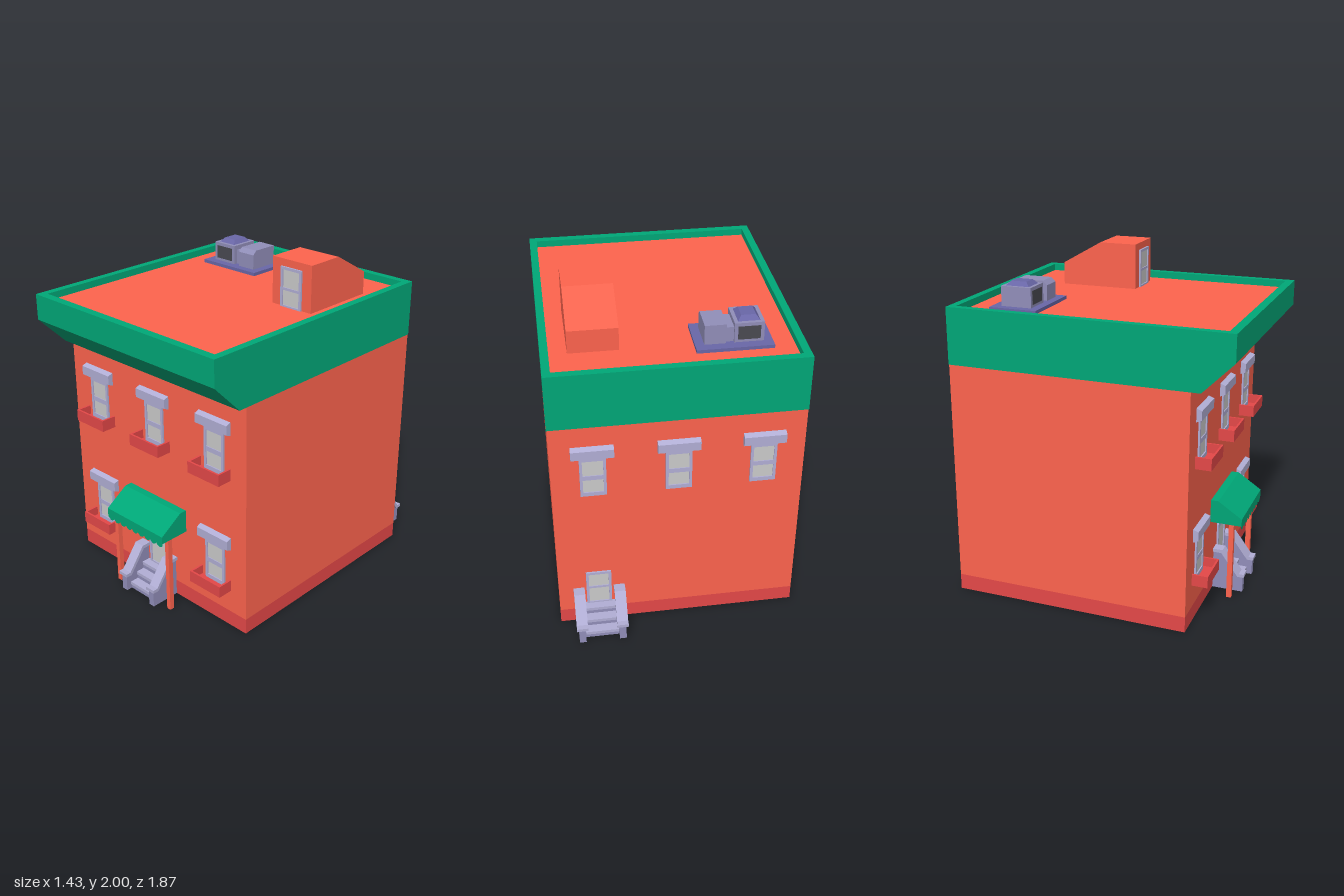
import * as THREE from 'three';

const mat = (color) => new THREE.MeshStandardMaterial({ color, flatShading: true, side: THREE.DoubleSide });
const M = {
  brick: mat(0xff644e), base: mat(0xe54848), green: mat(0x00a878), trim: mat(0xb2afd6),
  stone: mat(0x928fba), blue: mat(0x6a67a8), dark: mat(0x4a4a52), glass: mat(0xcccccc),
};

function add(parent, name, geo, material, x = 0, y = 0, z = 0) {
  const mesh = new THREE.Mesh(geo, material);
  mesh.name = name;
  mesh.position.set(x, y, z);
  parent.add(mesh);
  return mesh;
}

// Box given by its lower and upper limits on each axis
function box(parent, name, material, [x0, x1], [y0, y1], [z0, z1]) {
  return add(parent, name, new THREE.BoxGeometry(x1 - x0, y1 - y0, z1 - z0), material,
    (x0 + x1) / 2, (y0 + y1) / 2, (z0 + z1) / 2);
}

const polygon = (pts) => new THREE.Shape(pts.map(([a, b]) => new THREE.Vector2(a, b)));
const extrude = (shape, depth) => new THREE.ExtrudeGeometry(shape, { depth, bevelEnabled: false, curveSegments: 6 });

// Profile of [z, y] points extruded along x, centred
const extrudeX = (pts, width) => extrude(polygon(pts), width).translate(0, 0, -width / 2).rotateY(-Math.PI / 2);

const rect = (x0, x1, y0, y1) => [[x0, y0], [x1, y0], [x1, y1], [x0, y1]];

// Upright opening outline, optionally with a round top
function opening(w, y0, y1, arched) {
  if (!arched) return polygon(rect(-w / 2, w / 2, y0, y1));
  const s = new THREE.Shape();
  s.moveTo(-w / 2, y0);
  s.lineTo(w / 2, y0);
  s.absarc(0, y1 - w / 2, w / 2, 0, Math.PI, false);
  s.closePath();
  return s;
}

// Frame with glass and a crossbar; the wall is at z = 0
function framed(parent, name, { w, h, border, sill, bar, barH, arched = false }) {
  const g = new THREE.Group();
  g.name = name;
  const outer = opening(w, 0, h, arched);
  outer.holes.push(opening(w - 2 * border, sill, h - border, arched));
  add(g, 'frame', extrude(outer, 0.011), M.trim);
  add(g, 'glass', new THREE.ShapeGeometry(opening(w - border, sill / 2, h - border / 2, arched), 6), M.glass, 0, 0, 0.004);
  box(g, 'crossbar', M.trim, [-w / 2 + border, w / 2 - border], [bar, bar + barH], [0, 0.009]);
  parent.add(g);
  return g;
}

function makeWindow(parent, x, y, planter) {
  const g = new THREE.Group();
  g.name = 'window';
  g.position.set(x, y, 0);
  framed(g, 'sash', { w: 0.148, h: 0.255, border: 0.016, sill: 0.025, bar: 0.11, barH: 0.028 }).position.y = 0.015;
  add(g, 'lintel', extrudeX([[0, 0.27], [0.032, 0.284], [0.032, 0.338], [0, 0.35]], 0.238), M.trim);
  if (planter) {
    const p = new THREE.Group();
    p.name = 'planter';
    box(p, 'planterFloor', M.base, [-0.119, 0.119], [0, 0.015], [0, 0.094]);
    box(p, 'planterFront', M.base, [-0.119, 0.119], [0, 0.07], [0.082, 0.094]);
    for (const s of [-1, 1]) box(p, 'planterEnd', M.base, [s * 0.113 - 0.006, s * 0.113 + 0.006], [0, 0.07], [0, 0.083]);
    g.add(p);
  }
  parent.add(g);
}

// Three steps between two capped sloping side walls
function stairs(parent, x) {
  const g = new THREE.Group();
  g.name = 'stairs';
  g.position.x = x;
  for (let i = 0; i < 3; i++) {
    const top = 0.143 - i * 0.048, d = 0.056 + i * 0.05;
    box(g, 'riser', M.stone, [-0.106, 0.106], [0, top - 0.02], [0, d - 0.006]);
    box(g, 'tread', M.trim, [-0.106, 0.106], [top - 0.02, top], [0, d]);
  }
  for (const s of [-1, 1]) {
    add(g, 'stairWall', extrudeX([[0, 0], [0.188, 0], [0.188, 0.105], [0.16, 0.105], [0.055, 0.245], [0, 0.245]], 0.04), M.stone, s * 0.12);
    add(g, 'wallCap', extrudeX([[0, 0.243], [0.052, 0.243], [0.158, 0.102], [0.198, 0.102], [0.198, 0.122], [0.167, 0.122], [0.06, 0.264], [0, 0.264]], 0.066), M.trim, s * 0.12);
  }
  parent.add(g);
}

// Porch awning with scalloped valance and two poles
function awning(parent) {
  const g = new THREE.Group();
  g.name = 'awning';
  const w = 0.475;
  add(g, 'canopy', extrudeX([[0, 0.62], [0.045, 0.62], [0.19, 0.525], [0.19, 0.48], [0.182, 0.48], [0.182, 0.521], [0.043, 0.612], [0, 0.612]], w), M.green);
  const side = [[0, 0.48], [0.188, 0.48], [0.188, 0.525], [0.045, 0.618], [0, 0.618]];
  for (const s of [-1, 1]) {
    add(g, 'canopySide', extrudeX(side, 0.008), M.green, s * (w / 2 - 0.004));
    box(g, 'pole', M.brick, [s * 0.222 - 0.014, s * 0.222 + 0.014], [0, 0.53], [0.113, 0.143]);
  }
  const n = 9, r = w / n / 2, sc = new THREE.Shape();
  sc.moveTo(-w / 2, 0.485);
  sc.lineTo(-w / 2, 0.468);
  for (let i = 0; i < n; i++) {
    const x = -w / 2 + i * 2 * r;
    sc.quadraticCurveTo(x + r, 0.434, x + 2 * r, 0.468);
  }
  sc.lineTo(w / 2, 0.485);
  sc.closePath();
  add(g, 'valance', new THREE.ShapeGeometry(sc, 6), M.green, 0, 0, 0.188);
  parent.add(g);
}

// Two rooftop cooling units on a shared slab
function rooftopUnits(parent, y) {
  const g = new THREE.Group();
  g.name = 'rooftopUnits';
  box(g, 'slab', M.blue, [-0.55, -0.12], [y, y + 0.022], [-0.55, -0.26]);
  box(g, 'fanUnit', M.stone, [-0.5, -0.335], [y, 1.86], [-0.495, -0.31]);
  const cap = new THREE.CylinderGeometry(0.65 * Math.SQRT1_2, Math.SQRT1_2, 1, 4, 1).rotateY(Math.PI / 4);
  add(g, 'fanCap', cap, M.blue, -0.4175, 1.872, -0.4025).scale.set(0.125, 0.026, 0.145);
  for (const z of [-0.495, -0.31]) box(g, 'grille', M.dark, [-0.48, -0.355], [1.76, 1.84], [z - 0.002, z + 0.002]);
  box(g, 'duct', M.stone, [-0.336, -0.289], [y, 1.832], [-0.48, -0.335]);
  add(g, 'boxUnit', extrudeX([[-0.497, y], [-0.307, y], [-0.307, 1.835], [-0.333, 1.86], [-0.497, 1.86]], 0.12), M.stone, -0.23);
  parent.add(g);
}

export function createModel() {
  const model = new THREE.Group();
  model.name = 'building';
  const deck = 1.722;

  // Walls
  box(model, 'baseCourse', M.base, [-0.712, 0.712], [0, 0.096], [-0.733, 0.7]);
  box(model, 'walls', M.brick, [-0.712, 0.712], [0.096, 1.44], [-0.733, 0.7]);

  // Cornice, parapet rim and roof deck
  add(model, 'cornice', extrudeX([[-0.735, 1.43], [0.755, 1.43], [0.935, 1.61], [0.935, deck], [-0.735, deck]], 1.43), M.green);
  const rim = polygon(rect(-0.715, 0.715, -0.935, 0.735));
  rim.holes.push(polygon(rect(-0.67, 0.67, -0.885, 0.69)));
  add(model, 'parapet', extrude(rim, 1.765 - deck).rotateX(-Math.PI / 2), M.green, 0, deck, 0);
  box(model, 'roofDeck', M.brick, [-0.67, 0.67], [deck - 0.01, deck + 0.002], [-0.69, 0.885]);

  // Front
  const front = new THREE.Group();
  front.name = 'frontFacade';
  front.position.z = 0.7;
  for (const x of [-0.478, 0, 0.478]) {
    makeWindow(front, x, 0.955, true);
    if (x) makeWindow(front, x, 0.24, true);
  }
  framed(front, 'frontDoor', { w: 0.156, h: 0.325, border: 0.015, sill: 0.012, bar: 0.223, barH: 0.025, arched: true }).position.y = 0.14;
  stairs(front, 0);
  awning(front);
  model.add(front);

  // Back
  const back = new THREE.Group();
  back.name = 'backFacade';
  back.position.z = -0.733;
  back.rotation.y = Math.PI;
  for (const x of [-0.478, 0, 0.478]) makeWindow(back, x, 0.955, false);
  framed(back, 'backDoor', { w: 0.15, h: 0.245, border: 0.016, sill: 0.012, bar: 0.12, barH: 0.015 }).position.set(-0.473, 0.14, 0);
  stairs(back, -0.473);
  model.add(back);

  // Roof access hut
  add(model, 'roofHut', extrudeX([[-0.45, deck], [0.028, deck], [0.028, 2], [-0.205, 2], [-0.45, 1.86]], 0.282), M.brick, 0.428);
  framed(model, 'roofDoor', { w: 0.15, h: 0.235, border: 0.016, sill: 0.012, bar: 0.1, barH: 0.015 }).position.set(0.428, deck, 0.028);

  rooftopUnits(model, deck);
  return model;
}
